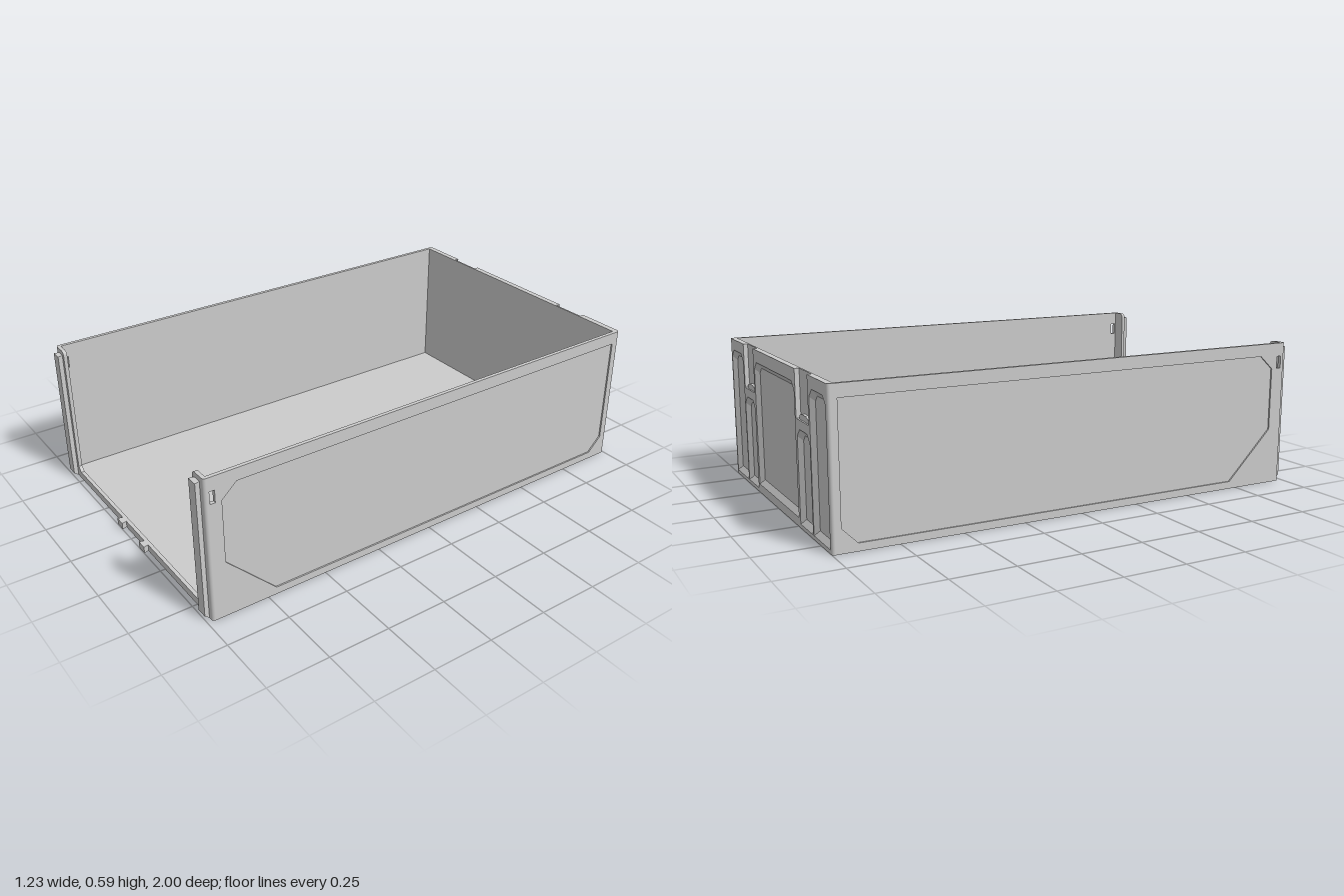
import * as THREE from 'three';

const W = 0.615, H = 0.59, R = 0.012;
const BACK = -1, FRONT = 0.98;
const material = new THREE.MeshStandardMaterial({ color: 0xcccccc, flatShading: true });
const smooth = new THREE.MeshStandardMaterial({ color: 0xcccccc });

const shapeOf = (pts) => new THREE.Shape(pts.map(([x, y]) => new THREE.Vector2(x, y)));
const pathOf = (pts) => new THREE.Path(pts.map(([x, y]) => new THREE.Vector2(x, y)));

function add(parent, name, geometry, x = 0, y = 0, z = 0, mat = material) {
  const mesh = new THREE.Mesh(geometry, mat);
  mesh.name = name;
  mesh.position.set(x, y, z);
  parent.add(mesh);
  return mesh;
}

// Flat slab of the given outline, with optional holes
function slab(pts, depth, holes = []) {
  const s = shapeOf(pts);
  holes.forEach((h) => s.holes.push(pathOf(h)));
  return new THREE.ExtrudeGeometry(s, { depth, bevelEnabled: false });
}

const rect = (x0, y0, x1, y1) => [[x0, y0], [x1, y0], [x1, y1], [x0, y1]];

// Rectangle with both top corners cut
const cutRect = (x0, y0, x1, y1, c) =>
  [[x0, y0], [x1, y0], [x1, y1 - c], [x1 - c, y1], [x0 + c, y1], [x0, y1 - c]];

// Sloping band between two loops with the same number of points
function band(outer, zOuter, inner, zInner) {
  const pos = [];
  outer.forEach((a, i) => {
    const j = (i + 1) % outer.length;
    const b = outer[j], A = inner[i], B = inner[j];
    pos.push(...a, zOuter, ...b, zOuter, ...B, zInner);
    pos.push(...a, zOuter, ...B, zInner, ...A, zInner);
  });
  const g = new THREE.BufferGeometry();
  g.setAttribute('position', new THREE.Float32BufferAttribute(pos, 3));
  g.computeVertexNormals();
  return g;
}

// Side wall: thin skin, outer frame around a shallow recess, and a slot through both
function sideWall(side) {
  const wall = new THREE.Group();
  wall.name = side > 0 ? 'leftWall' : 'rightWall';
  const outline = rect(BACK + R, 0, FRONT - R, H);
  const slot = rect(0.94, 0.485, 0.96, 0.535);
  const recess = [
    [0.715, 0.03], [0.915, 0.23], [0.915, 0.485], [0.855, 0.54],
    [-0.965, 0.54], [-0.965, 0.09], [-0.905, 0.03],
  ];
  const skin = add(wall, 'wallSkin', slab(outline, 0.009, [slot]), side > 0 ? 0.609 : -0.6);
  const frame = add(wall, 'wallFrame', slab(outline, 0.006, [recess, slot]), side > 0 ? W : -0.609);
  skin.rotation.y = frame.rotation.y = -Math.PI / 2;
  return wall;
}

// Back wall, built facing +z and then turned round
function backWall() {
  const back = new THREE.Group();
  back.name = 'backWall';
  const w = W - R;
  add(back, 'backSkin', slab(rect(-w, 0, w, H), 0.007), 0, 0, 0.975);

  const pockets = [[-0.255, 0.035, 0.255, 0.54]];
  for (const s of [-1, 1]) {
    const span = (a, b, y0, y1) => [Math.min(s * a, s * b), y0, Math.max(s * a, s * b), y1];
    pockets.push(span(0.425, 0.595, 0.015, 0.545), span(0.275, 0.415, 0.015, 0.375));
  }
  const outline = [
    [-w, 0], [w, 0], [w, H], [0.41, H], [0.41, 0.41], [0.27, 0.41], [0.27, H],
    [-0.27, H], [-0.27, 0.41], [-0.41, 0.41], [-0.41, H], [-w, H],
  ];
  const rims = pockets.map((p) => cutRect(...p, 0.03));
  add(back, 'backFrame', slab(outline, 0.018, rims), 0, 0, 0.982);

  // Pockets with sloping sides
  pockets.forEach(([x0, y0, x1, y1], i) => {
    const b = 0.022;
    const floor = cutRect(x0 + b, y0 + b, x1 - b, y1 - b, 0.022);
    add(back, 'pocketSides', band(rims[i], 1, floor, 0.984));
    add(back, 'pocketFloor', new THREE.ShapeGeometry(shapeOf(floor)), 0, 0, 0.984);
  });

  // Small catch at the foot of each notch
  for (const s of [-1, 1]) {
    const lip = slab([[-0.05, 0], [0.05, 0], [0.05, 0.014], [0.025, 0.022], [-0.025, 0.022], [-0.05, 0.014]], 0.012);
    add(back, 'catchLip', lip, s * 0.34, 0.41, 0.982);
  }
  back.rotation.y = Math.PI;
  return back;
}

// Front: low sill with two uprights
function frontFrame() {
  const w = W - R, inner = 0.54, c = 0.02;
  const s = new THREE.Shape();
  s.moveTo(-w, 0);
  s.lineTo(w, 0);
  s.lineTo(w, H);
  s.lineTo(inner + c, H);
  s.quadraticCurveTo(inner, H, inner, H - c);
  s.lineTo(inner, 0.03 + c);
  s.lineTo(inner - c, 0.03);
  s.lineTo(-inner + c, 0.03);
  s.lineTo(-inner, 0.03 + c);
  s.lineTo(-inner, H - c);
  s.quadraticCurveTo(-inner, H, -inner - c, H);
  s.lineTo(-w, H);
  return new THREE.ExtrudeGeometry(s, { depth: 0.015, bevelEnabled: false, curveSegments: 6 });
}

// Upright dovetail bar, wider at its front; the foot may slope back
function dovetail(width, height, slope) {
  const g = new THREE.BoxGeometry(width, height, 0.02);
  g.translate(0, height / 2, 0.01);
  const p = g.attributes.position;
  for (let i = 0; i < p.count; i++) {
    if (p.getZ(i) < 0.01) p.setX(i, p.getX(i) * 0.75);
    else if (p.getY(i) < 0.001) p.setY(i, slope);
  }
  g.computeVertexNormals();
  return g;
}

export function createModel() {
  const drawer = new THREE.Group();
  drawer.name = 'drawer';

  const floor = new THREE.BoxGeometry(1.2, 0.015, 1.94);
  add(drawer, 'floor', floor, 0, 0.0075, -0.005);
  drawer.add(sideWall(1), sideWall(-1), backWall());
  add(drawer, 'frontFrame', frontFrame(), 0, 0, FRONT - 0.015);

  // Rounded vertical corners
  [[1, 1], [1, -1], [-1, -1], [-1, 1]].forEach(([sx, sz], i) => {
    const post = new THREE.CylinderGeometry(R, R, H, 6, 1, false, i * Math.PI / 2, Math.PI / 2);
    add(drawer, 'cornerPost', post, sx * (W - R), H / 2, sz > 0 ? FRONT - R : BACK + R, smooth);
  });

  // Front rails and sill tabs
  for (const s of [-1, 1]) {
    add(drawer, 'frontRail', dovetail(0.045, 0.57, 0.018), s * 0.572, 0, FRONT);
    add(drawer, 'sillTab', dovetail(0.044, 0.027, 0), s * 0.096, 0.003, FRONT);
  }
  return drawer;
}
